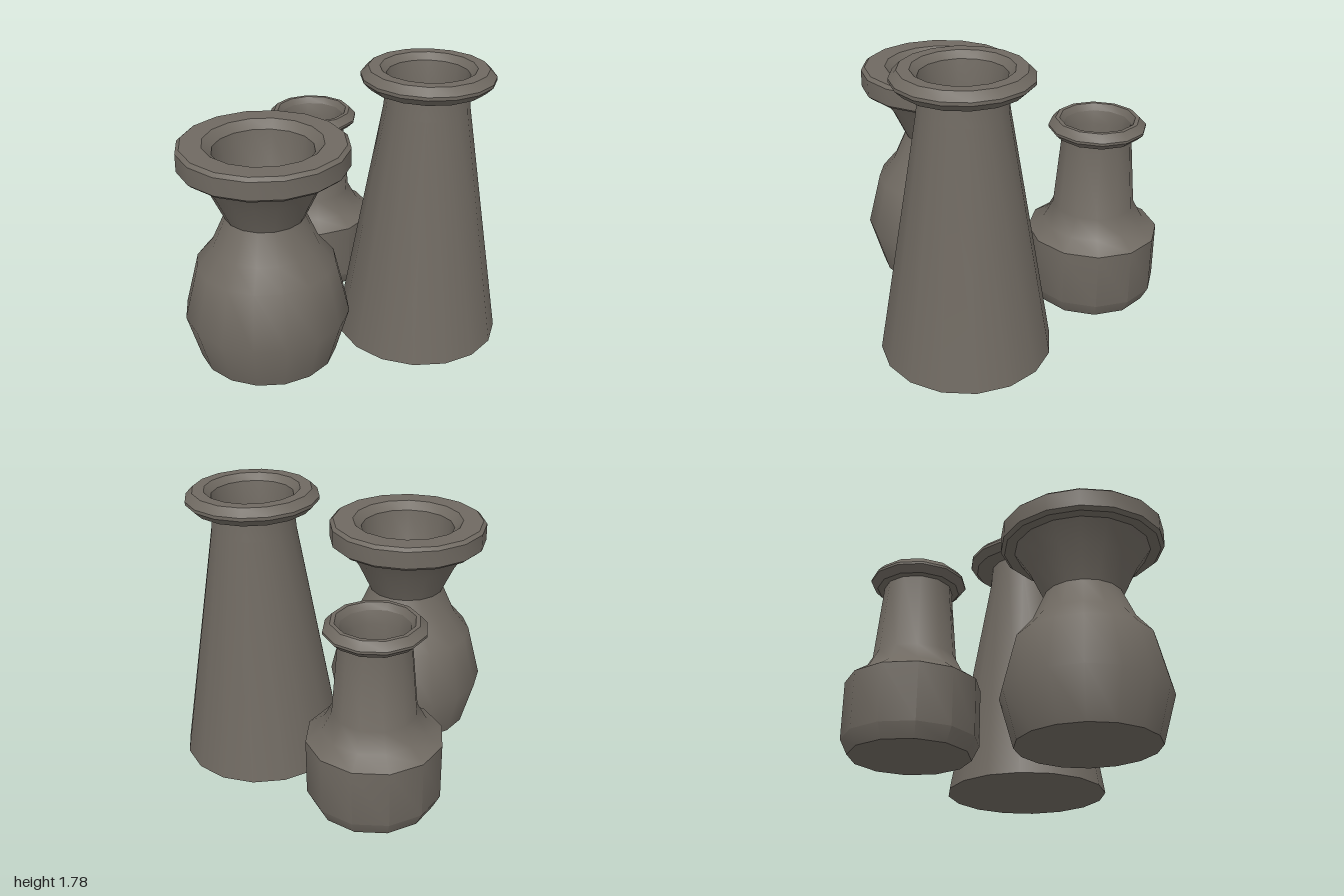
import * as THREE from 'three';
import { toCreasedNormals } from 'three/addons/utils/BufferGeometryUtils.js';

const stoneware = new THREE.MeshStandardMaterial({ color: 0x6f6961 });
stoneware.name = 'stoneware';

// Turned part from [radius, height] points; smooth round the side, sharp at strong profile edges
function turned(name, profile, sides) {
  const points = profile.map(([r, y]) => new THREE.Vector2(r, y));
  const geometry = toCreasedNormals(new THREE.LatheGeometry(points, sides), 0.65);
  const mesh = new THREE.Mesh(geometry, stoneware);
  mesh.name = name;
  return mesh;
}

// Profiles run from the base centre: outer wall and lip, then the inner wall down to the floor
const vases = [
  {
    name: 'tallConicalVase', x: 0.44, z: -0.48, sides: 16,
    outside: [[0, 0], [0.52, 0], [0.262, 1.53], [0.25, 1.67]],
    lip: [[0.25, 1.67], [0.36, 1.67], [0.405, 1.715], [0.405, 1.735], [0.36, 1.78], [0.29, 1.78], [0.25, 1.74]],
    inside: [[0.25, 1.74], [0.215, 1.53], [0.21, 0.05], [0, 0.05]],
  },
  {
    name: 'waistedVase', x: 0.085, z: 0.48, sides: 16,
    outside: [[0, 0.02], [0.43, 0.02], [0.515, 0.32], [0.43, 0.66], [0.33, 0.78], [0.245, 0.97],
      [0.335, 1.16], [0.425, 1.29]],
    lip: [[0.425, 1.29], [0.49, 1.29], [0.513, 1.31], [0.513, 1.42], [0.49, 1.44], [0.36, 1.44], [0.305, 1.39]],
    inside: [[0.305, 1.39], [0.27, 1.16], [0.2, 0.97], [0.27, 0.75], [0.4, 0.32], [0.36, 0.07], [0, 0.07]],
  },
  {
    name: 'shoulderedVase', x: -0.555, z: -0.38, sides: 12,
    outside: [[0, 0.03], [0.37, 0.03], [0.415, 0.12], [0.415, 0.48], [0.32, 0.545], [0.258, 0.66], [0.215, 1.14]],
    lip: [[0.215, 1.14], [0.26, 1.14], [0.302, 1.18], [0.302, 1.195], [0.26, 1.24], [0.235, 1.24], [0.21, 1.2]],
    inside: [[0.21, 1.2], [0.187, 1.12], [0.21, 0.66], [0.35, 0.46], [0.35, 0.12], [0, 0.08]],
  },
];

export function createModel() {
  const group = new THREE.Group();
  group.name = 'vaseGroup';
  for (const { name, x, z, sides, outside, lip, inside } of vases) {
    const vase = new THREE.Group();
    vase.name = name;
    vase.add(turned('body', outside, sides), turned('rim', lip, sides), turned('innerWall', inside, sides));
    vase.position.set(x, 0, z);
    group.add(vase);
  }
  return group;
}
